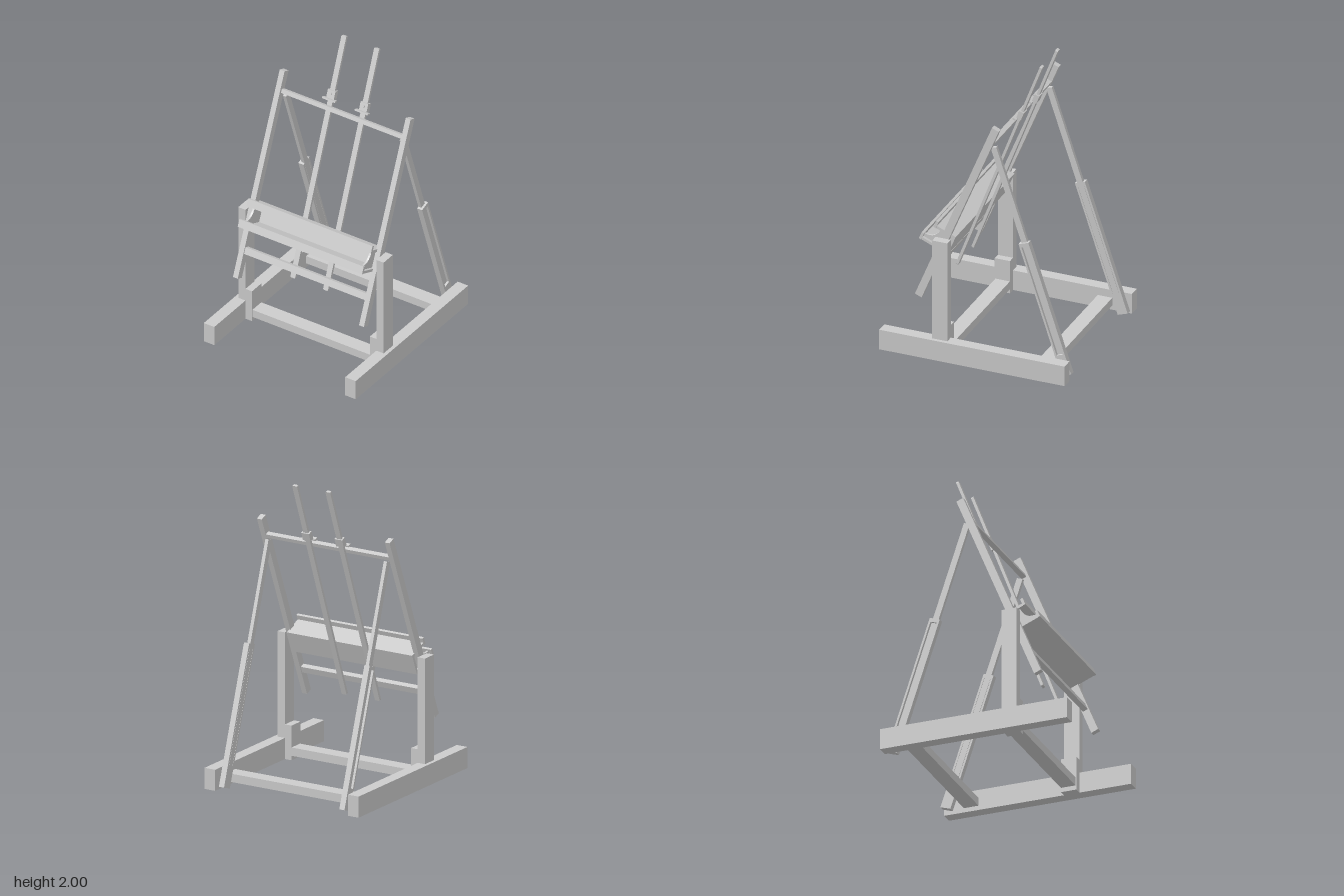
import * as THREE from 'three';

const material = new THREE.MeshStandardMaterial({ color: 0xcccccc, flatShading: true });

function addMesh(parent, name, geometry, x = 0, y = 0, z = 0) {
  const mesh = new THREE.Mesh(geometry, material);
  mesh.name = name;
  mesh.position.set(x, y, z);
  parent.add(mesh);
  return mesh;
}

// Box given by its [min, max] range on each axis
function addBox(parent, name, [x0, x1], [y0, y1], [z0, z1]) {
  return addMesh(parent, name, new THREE.BoxGeometry(x1 - x0, y1 - y0, z1 - z0),
    (x0 + x1) / 2, (y0 + y1) / 2, (z0 + z1) / 2);
}

// Pair of boxes mirrored across x = 0
function addPair(parent, name, [x0, x1], y, z) {
  addBox(parent, name + 'Left', [x0, x1], y, z);
  addBox(parent, name + 'Right', [-x1, -x0], y, z);
}

// Group leaning about the x axis
function leaningGroup(parent, name, x, y, z, angle) {
  const group = new THREE.Group();
  group.name = name;
  group.position.set(x, y, z);
  group.rotation.x = angle;
  parent.add(group);
  return group;
}

// Profile in the side plane (shape x -> z), extruded across x and centred
function sideExtrude(shape, width) {
  const geometry = new THREE.ExtrudeGeometry(shape, { depth: width, bevelEnabled: false, curveSegments: 10 });
  return geometry.translate(0, 0, -width / 2).rotateY(-Math.PI / 2);
}

function rectPath(path, x0, x1, y0, y1) {
  path.moveTo(x0, y0);
  path.lineTo(x1, y0);
  path.lineTo(x1, y1);
  path.lineTo(x0, y1);
  path.closePath();
  return path;
}

function buildBase(root) {
  const base = new THREE.Group();
  base.name = 'base';
  root.add(base);
  addPair(base, 'floorRail', [0.5, 0.58], [0, 0.14], [-0.64, 0.64]);
  addPair(base, 'post', [0.5, 0.555], [0.14, 0.84], [0.18, 0.285]);
  addPair(base, 'postBlock', [0.45, 0.5], [0, 0.23], [0.18, 0.285]);
  addBox(base, 'frontCrossRail', [-0.45, 0.45], [0.03, 0.085], [0.18, 0.28]);
  addBox(base, 'rearCrossRail', [-0.5, 0.5], [0.03, 0.085], [-0.505, -0.405]);
}

function buildFrame(root) {
  // Local y runs up the slope, local z points out of the painting face
  const frame = leaningGroup(root, 'leaningFrame', 0, 0.395, 0.405, -0.39);
  addPair(frame, 'upright', [0.463, 0.5], [0, 1.4], [-0.025, 0.025]);
  addBox(frame, 'topCrossbar', [-0.465, 0.465], [1.252, 1.279], [-0.024, 0.008]);
  addBox(frame, 'lowerCrossbar', [-0.465, 0.465], [0.167, 0.212], [-0.017, 0.017]);

  // Two-level tray
  addBox(frame, 'upperShelf', [-0.472, 0.472], [0.497, 0.515], [-0.055, 0.09]);
  addBox(frame, 'upperLip', [-0.475, 0.475], [0.497, 0.548], [0.085, 0.103]);
  addBox(frame, 'lowerShelf', [-0.472, 0.472], [0.365, 0.383], [-0.055, 0.145]);
  addBox(frame, 'lowerLip', [-0.475, 0.475], [0.365, 0.417], [0.14, 0.157]);
  addBox(frame, 'trayBack', [-0.472, 0.472], [0.383, 0.497], [-0.055, -0.04]);

  // Curved brackets joining the shelves
  const profile = new THREE.Shape();
  profile.moveTo(-0.04, 0.38);
  profile.lineTo(0.14, 0.38);
  profile.lineTo(0.14, 0.405);
  profile.quadraticCurveTo(0.06, 0.41, 0.055, 0.5);
  profile.lineTo(-0.04, 0.5);
  profile.closePath();
  for (const side of [1, -1]) {
    addMesh(frame, 'trayBracket', sideExtrude(profile, 0.014), side * 0.445);
  }
}

function buildRods(root) {
  const w = 0.0185, h = 0.82, r = 0.009;
  const outline = new THREE.Shape();
  outline.moveTo(-w, -h + r);
  outline.quadraticCurveTo(-w, -h, -w + r, -h);
  outline.lineTo(w - r, -h);
  outline.quadraticCurveTo(w, -h, w, -h + r);
  outline.lineTo(w, h - r);
  outline.quadraticCurveTo(w, h, w - r, h);
  outline.lineTo(-w + r, h);
  outline.quadraticCurveTo(-w, h, -w, h - r);
  const rodGeometry = new THREE.ExtrudeGeometry(outline, { depth: 0.018, bevelEnabled: false, curveSegments: 4 });
  rodGeometry.translate(0, 0, -0.009);

  for (const x of [0.122, -0.128]) {
    const rod = leaningGroup(root, 'canvasRod', x, 1.2325, 0.0025, -0.364);
    addMesh(rod, 'rodStrip', rodGeometry);
    // Sliding clamp with lip and screw
    addBox(rod, 'clampBlock', [-0.029, 0.029], [0.395, 0.452], [-0.016, 0.018]);
    addBox(rod, 'clampLip', [-0.05, 0.05], [0.385, 0.396], [0.008, 0.034]);
    const screw = addMesh(rod, 'clampScrew', new THREE.CylinderGeometry(0.009, 0.009, 0.008, 16), 0, 0.428, 0.021);
    screw.rotation.x = Math.PI / 2;
  }
}

function buildRearLegs(root) {
  // Slotted lower leg with a sliding bar
  const outline = rectPath(new THREE.Shape(), -0.036, 0.036, 0, 0.93);
  outline.holes.push(rectPath(new THREE.Path(), -0.0225, 0.0225, 0.142, 0.905));
  for (const side of [1, -1]) {
    const leg = leaningGroup(root, 'rearLeg', 0, 0.02, -0.605, 0.3237);
    addMesh(leg, 'slottedLeg', sideExtrude(outline, 0.039), side * 0.4535);
    addMesh(leg, 'slidingBar', new THREE.BoxGeometry(0.024, 1.458, 0.041), side * 0.446, 0.871, 0);
  }
}

export function createModel() {
  const root = new THREE.Group();
  root.name = 'easel';
  buildBase(root);
  buildFrame(root);
  buildRods(root);
  buildRearLegs(root);
  return root;
}
